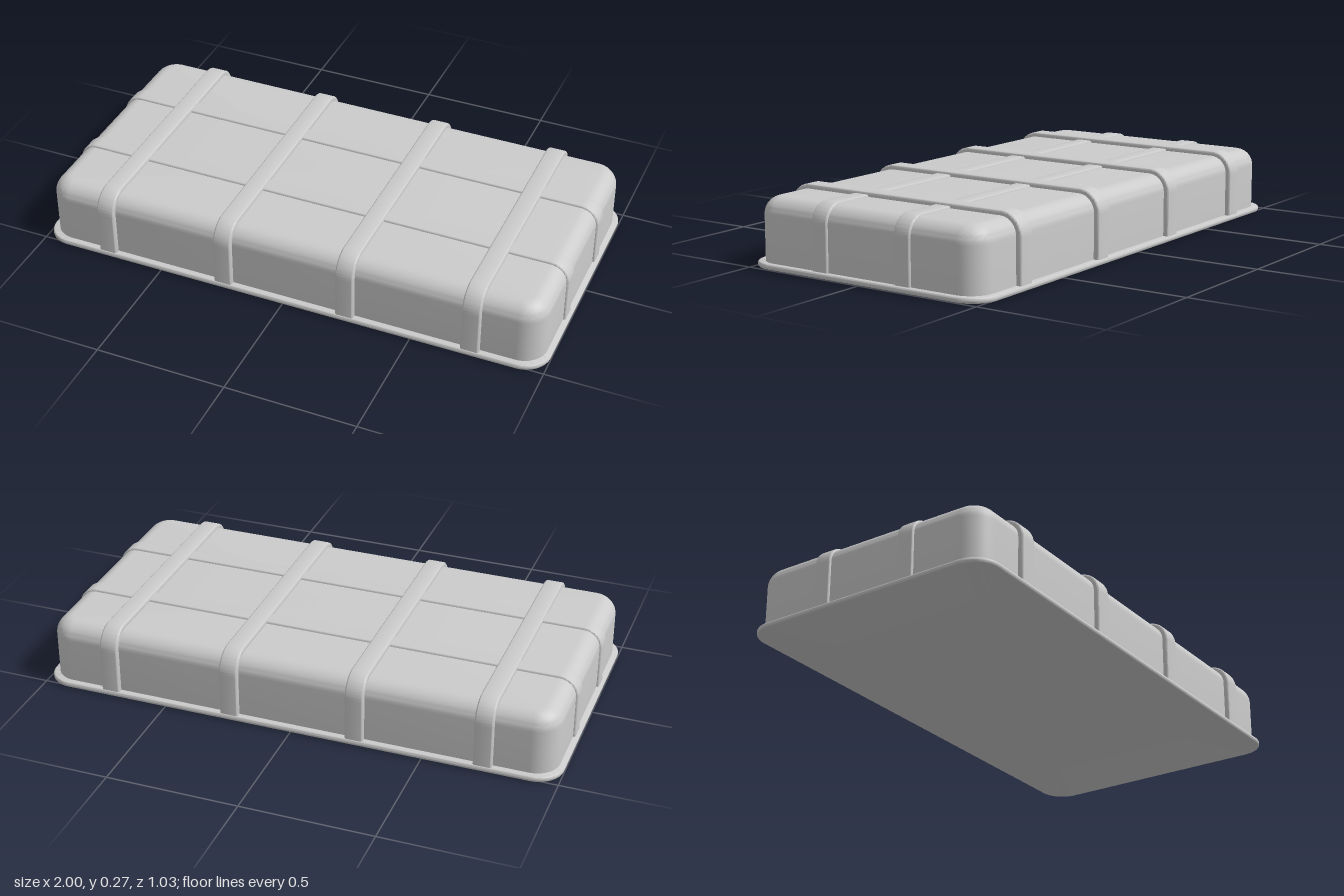
import * as THREE from 'three';
import { toCreasedNormals } from 'three/addons/utils/BufferGeometryUtils.js';

const material = new THREE.MeshStandardMaterial({ color: 0xcccccc });

// Closed stack of rounded rectangles; profile lists [inset, height] from bottom to top
function loft(halfX, halfZ, radius, profile, steps = 12) {
  const positions = [], index = [];
  const count = 4 * (steps + 1);
  for (const [inset, y] of profile) {
    const r = Math.max(radius - inset, 0.01);
    for (let corner = 0; corner < 4; corner++) {
      const sx = corner === 0 || corner === 3 ? 1 : -1;
      const sz = corner < 2 ? 1 : -1;
      for (let i = 0; i <= steps; i++) {
        const a = (corner + i / steps) * Math.PI / 2;
        positions.push(
          sx * (halfX - inset - r) + r * Math.cos(a), y,
          sz * (halfZ - inset - r) + r * Math.sin(a));
      }
    }
  }
  const last = profile.length - 1;
  const bottom = positions.length / 3, top = bottom + 1;
  positions.push(0, profile[0][1], 0, 0, profile[last][1], 0);
  for (let j = 0; j < count; j++) {
    const k = (j + 1) % count;
    for (let i = 0; i < last; i++) {
      const lo = i * count, hi = lo + count;
      index.push(lo + j, hi + j, lo + k, lo + k, hi + j, hi + k);
    }
    index.push(bottom, j, k, top, last * count + k, last * count + j);
  }
  const geometry = new THREE.BufferGeometry();
  geometry.setAttribute('position', new THREE.Float32BufferAttribute(positions, 3));
  geometry.setIndex(index);
  return toCreasedNormals(geometry, 0.6);
}

// Quarter-round edge as [inset, height] points
function roundEdge(r, y, from, to, steps) {
  return Array.from({ length: steps + 1 }, (_, i) => {
    const a = from + (to - from) * i / steps;
    return [r - r * Math.cos(a), y + r * Math.sin(a)];
  });
}

// Band bent over the body, lying in the XY plane and centred on z = 0
function strapGeometry(half, top, radius, width) {
  const t = 0.03, base = 0.01, bevel = 0.007;
  const shape = new THREE.Shape();
  shape.moveTo(half, base);
  shape.lineTo(half, top - radius);
  shape.absarc(half - radius, top - radius, radius, 0, Math.PI / 2, false);
  shape.lineTo(-half + radius, top);
  shape.absarc(-half + radius, top - radius, radius, Math.PI / 2, Math.PI, false);
  shape.lineTo(-half, base);
  shape.lineTo(-half + t, base);
  shape.lineTo(-half + t, top - radius);
  shape.absarc(-half + radius, top - radius, radius - t, Math.PI, Math.PI / 2, true);
  shape.lineTo(half - radius, top - t);
  shape.absarc(half - radius, top - radius, radius - t, Math.PI / 2, 0, true);
  shape.lineTo(half - t, base);
  shape.closePath();
  const geometry = new THREE.ExtrudeGeometry(shape, {
    depth: width - 2 * bevel, curveSegments: 12,
    bevelEnabled: true, bevelThickness: bevel, bevelSize: bevel, bevelOffset: -bevel, bevelSegments: 3,
  });
  geometry.translate(0, 0, -width / 2 + bevel);
  return toCreasedNormals(geometry, 0.6);
}

export function createModel() {
  const group = new THREE.Group();
  const add = (name, geometry) => {
    const mesh = new THREE.Mesh(geometry, material);
    mesh.name = name;
    group.add(mesh);
    return mesh;
  };

  // Main body with a softly rounded top edge
  add('body', loft(0.98, 0.49, 0.09, [
    [0, 0.005], ...roundEdge(0.065, 0.19, 0, Math.PI / 2, 10),
  ]));

  // Base rim with rounded edges
  const e = 0.008;
  add('baseRim', loft(1, 0.515, 0.1, [
    ...roundEdge(e, e, -Math.PI / 2, 0, 4),
    ...roundEdge(e, 0.021 - e, 0, Math.PI / 2, 4),
  ]));

  // Four straps across the width
  const crossGeometry = strapGeometry(0.51, 0.272, 0.085, 0.07);
  for (const x of [-0.724, -0.243, 0.243, 0.724]) {
    const strap = add('crossStrap', crossGeometry);
    strap.rotation.y = Math.PI / 2;
    strap.position.x = x;
  }

  // Two slightly lower straps along the length
  const longGeometry = strapGeometry(0.988, 0.263, 0.075, 0.068);
  for (const z of [-0.181, 0.181]) {
    add('lengthStrap', longGeometry).position.z = z;
  }

  return group;
}
